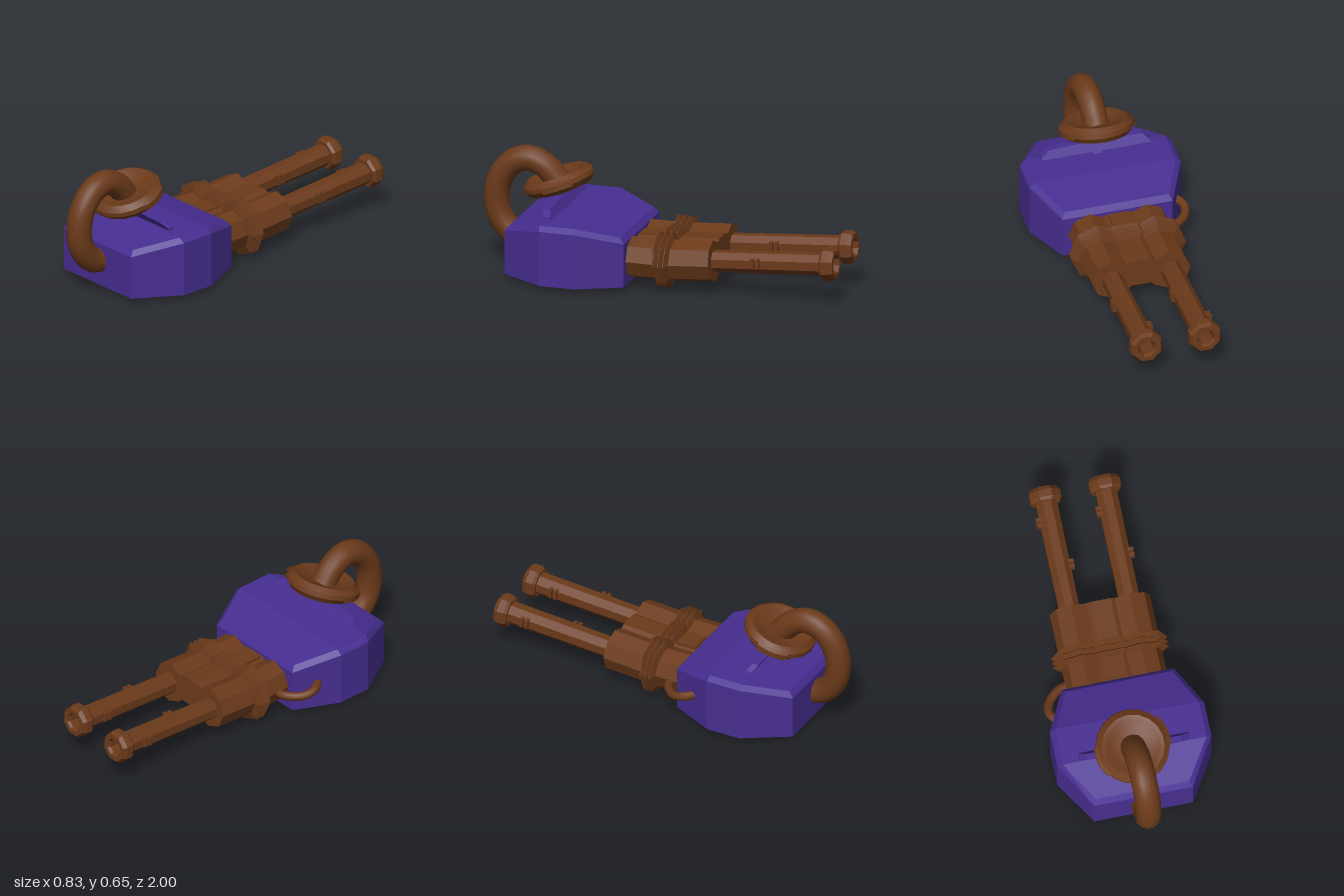
import * as THREE from 'three';
import { toCreasedNormals } from 'three/addons/utils/BufferGeometryUtils.js';
import { ConvexGeometry } from 'three/addons/geometries/ConvexGeometry.js';

const brown = new THREE.MeshStandardMaterial({ color: 0x6b3a1a });
const brownFlat = new THREE.MeshStandardMaterial({ color: 0x6b3a1a, flatShading: true });
const purple = new THREE.MeshStandardMaterial({ color: 0x472e91, flatShading: true });
const V = (x, y, z) => new THREE.Vector3(x, y, z);

function add(parent, name, geometry, material, x = 0, y = 0, z = 0) {
  const mesh = new THREE.Mesh(geometry, material);
  mesh.name = name;
  mesh.position.set(x, y, z);
  parent.add(mesh);
  return mesh;
}

function lathe(points, sides, start = 0, length = Math.PI * 2) {
  return new THREE.LatheGeometry(points.map(p => new THREE.Vector2(...p)), sides, start, length);
}

function tube(points, radius, segments, sides) {
  const curve = new THREE.CatmullRomCurve3(points.map(p => V(...p)));
  return new THREE.TubeGeometry(curve, segments, radius, sides);
}

// Two octagonal lobes joined by a thinner web, centred on the origin
function twinShape(r) {
  const pts = [];
  for (const [side, from] of [[1, -3], [-1, 1]]) {
    for (let i = from; i <= from + 6; i++) {
      const a = i * Math.PI / 4;
      pts.push(new THREE.Vector2(side * 0.157 + r * Math.cos(a), r * Math.sin(a)));
    }
    // web corners: high on top, grooved underneath
    pts.push(new THREE.Vector2(side * 0.055, side > 0 ? r - 0.02 : 0.055 - r));
    pts.push(new THREE.Vector2(-side * 0.055, side > 0 ? r - 0.02 : 0.055 - r));
  }
  return new THREE.Shape(pts);
}

function twinBlock(r, depth, bevel = 0, bevelDepth = bevel) {
  return new THREE.ExtrudeGeometry(twinShape(r), {
    depth, bevelEnabled: bevel > 0, bevelSize: bevel, bevelThickness: bevelDepth, bevelSegments: 1,
  });
}

export function createModel() {
  const model = new THREE.Group();
  model.name = 'twinBarrelTurret';

  // Faceted body with a chamfered, peaked top
  const corners = [];
  const outer = [[0.265, 0.27, 0.80], [0.413, 0.33, 0.56], [0.413, 0.33, 0.37], [0.30, 0.27, 0.13]];
  const inner = [[0.25, 0.30, 0.775], [0.385, 0.355, 0.57], [0.385, 0.355, 0.37], [0.285, 0.30, 0.155]];
  for (const s of [1, -1]) {
    for (const [x, y, z] of outer) corners.push(V(s * x, y, z), V(s * x, 0.033, z));
    for (const [x, y, z] of inner) corners.push(V(s * x, y, z));
  }
  add(model, 'body', new ConvexGeometry(corners), purple);

  // Slanted crossbar and its post above the body
  const slanted = (outline, low, name) => {
    const pts = outline.flatMap(([x, y]) =>
      [0, 0.035].map(d => V(x, y, 0.515 + d + (y - low) * 0.65)));
    add(model, name, new ConvexGeometry(pts), purple);
  };
  slanted([[-0.295, 0.365], [-0.29, 0.378], [-0.255, 0.41], [0, 0.413], [0.25, 0.405], [0.298, 0.378], [0.298, 0.365]], 0.345, 'crossbar');
  slanted([[-0.025, 0.345], [0.025, 0.345], [0.025, 0.45], [-0.025, 0.45]], 0.345, 'crossbarPost');

  // Tilted dish with two raised rim plates
  const dish = new THREE.Group();
  dish.name = 'dish';
  dish.position.set(-0.015, 0.482, 0.59);
  dish.rotation.x = 0.33;
  model.add(dish);
  const dishProfile = [[0, -0.052], [0.10, -0.052], [0.17, -0.036], [0.196, -0.005], [0.194, 0.02],
    [0.165, 0.046], [0.14, 0.04], [0.11, 0.022], [0, 0.015]];
  add(dish, 'dishBowl', toCreasedNormals(lathe(dishProfile, 18), 0.5), brown);
  for (const mid of [Math.PI / 2, -Math.PI / 2]) {
    const plate = lathe([[0.18, -0.03], [0.203, -0.014], [0.203, 0.018], [0.185, 0.03]], 5, mid - 0.15, 0.85);
    plate.computeVertexNormals();
    add(dish, 'rimPlate', plate, new THREE.MeshStandardMaterial({
      color: 0x6b3a1a, flatShading: true, side: THREE.DoubleSide }));
  }

  // Thick looping pipe from the body front up into the dish
  add(model, 'loopPipe', tube([[0, 0.165, 0.75], [0, 0.185, 0.84], [0, 0.265, 0.909], [0, 0.37, 0.93],
    [0, 0.485, 0.905], [-0.003, 0.57, 0.835], [-0.006, 0.595, 0.75], [-0.01, 0.56, 0.665], [-0.015, 0.48, 0.59]],
  0.068, 40, 14), brown);

  // Thin hose on the right side
  add(model, 'sideHose', tube([[-0.24, 0.15, 0.065], [-0.31, 0.15, 0.085], [-0.372, 0.155, 0.15],
    [-0.382, 0.17, 0.21], [-0.34, 0.18, 0.275]], 0.024, 20, 8), brown);

  // Receiver block behind the body, with a top panel
  add(model, 'receiver', twinBlock(0.112, 0.22), brownFlat, 0, 0.163, -0.07);
  add(model, 'topPanel', new THREE.BoxGeometry(0.12, 0.03, 0.115), brownFlat, -0.005, 0.25, 0.057);

  // Ridged collar fanning around the receiver
  for (let i = -1; i <= 1; i++) {
    const ridge = add(model, 'collarRidge', twinBlock(0.118, 0.004, 0.034, 0.014), brownFlat, 0, 0.163, -0.062 + i * 0.026);
    ridge.rotation.x = 0.03 + i * 0.06;
  }

  // Rear block and barrels rise gently toward the muzzles
  const gun = new THREE.Group();
  gun.name = 'barrelAssembly';
  gun.position.set(0, 0.163, -0.06);
  gun.rotation.x = 0.07;
  model.add(gun);
  add(gun, 'barrelHousing', twinBlock(0.112, 0.26), brownFlat, 0, 0, -0.265);

  const barrel = lathe([[0.058, 0.2], [0.061, 0.865], [0.078, 0.865], [0.09, 0.88], [0.09, 0.918],
    [0.078, 0.94], [0.052, 0.94], [0.044, 0.925], [0.044, 0.84], [0, 0.84]], 8);
  barrel.rotateY(Math.PI / 8).rotateX(-Math.PI / 2);
  for (const x of [-0.163, 0.157]) {
    add(gun, 'barrel', barrel, brownFlat, x, 0, 0);
    // Paired lugs on either side of the barrel
    for (const [side, z] of [[-1, -0.745], [-1, -0.775], [1, -0.495], [1, -0.525]])
      add(gun, 'barrelLug', new THREE.BoxGeometry(0.03, 0.05, 0.018), brownFlat, x + side * 0.06, 0.008, z);
  }
  return model;
}
